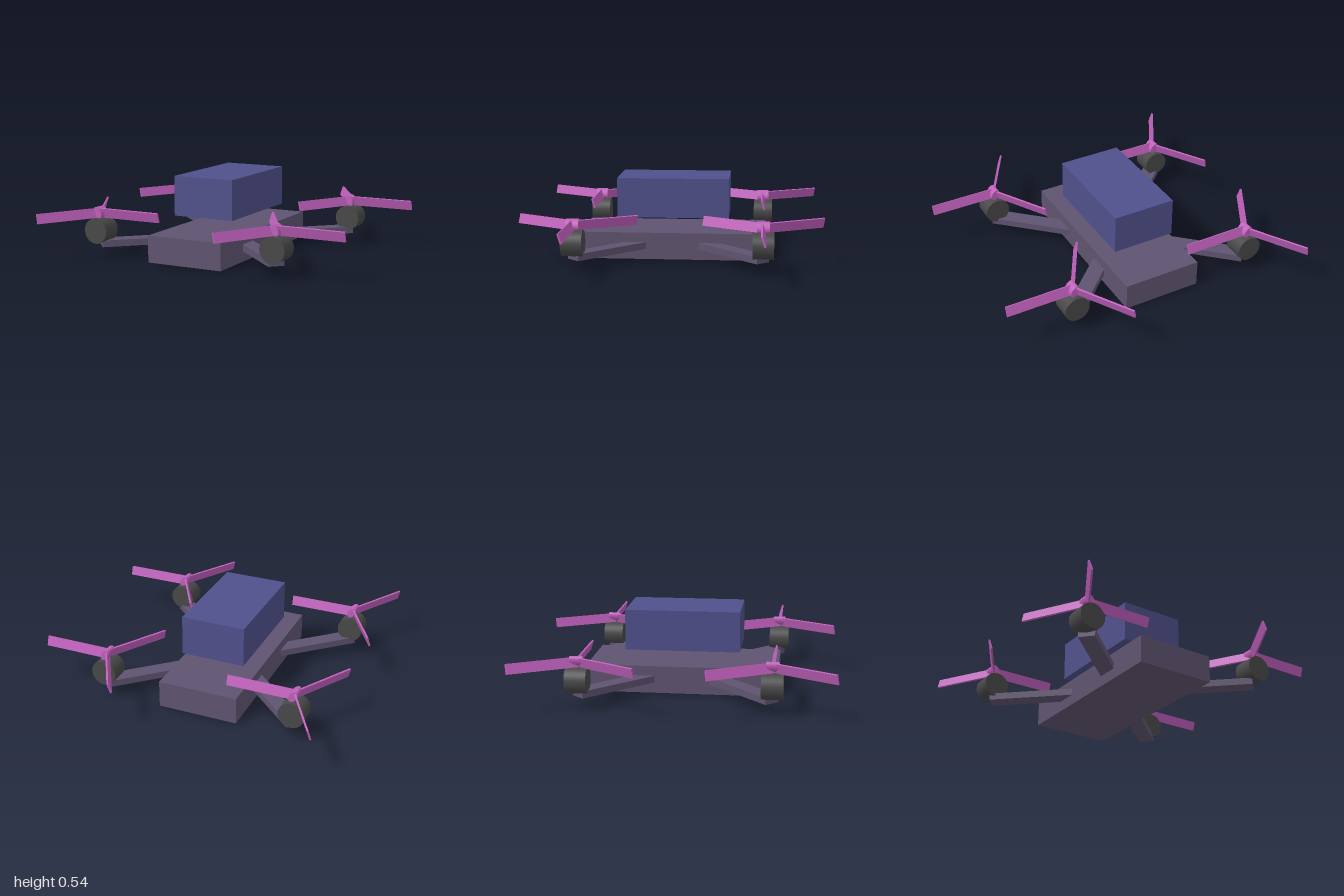
import * as THREE from 'three';

const CX = -0.107; // frame centre in x
const REACH_X = 0.647, REACH_Z = 0.605; // motor offsets from the frame centre

const mat = (color) => new THREE.MeshStandardMaterial({ color });
const bodyMat = mat(0x5f5470);
const batteryMat = mat(0x50508c);
const motorMat = mat(0x484848);
const propMat = mat(0xc060bc);

function part(name, geometry, material, x = 0, y = 0, z = 0) {
  const mesh = new THREE.Mesh(geometry, material);
  mesh.name = name;
  mesh.position.set(x, y, z);
  return mesh;
}

// Three pitched blades around a small tilted oval hub
function createPropeller() {
  const prop = new THREE.Group();
  prop.name = 'propeller';
  const hub = new THREE.CylinderGeometry(0.04, 0.04, 0.082, 32)
    .rotateX(Math.PI / 2)
    .scale(0.62, 1, 1)
    .rotateZ(0.6);
  prop.add(part('hub', hub, propMat, 0, 0.005, 0));
  const blade = new THREE.BoxGeometry(0.448, 0.066, 0.012)
    .translate(0.224, 0, 0)
    .rotateX(0.3);
  for (let i = 0; i < 3; i++) {
    const mesh = part('blade', blade, propMat);
    mesh.rotation.y = (i * Math.PI * 2) / 3;
    prop.add(mesh);
  }
  return prop;
}

// Diagonal arm, motor lying along z, and propeller
function createRotorArm(sx, sz) {
  const rotor = new THREE.Group();
  rotor.name = 'rotorArm';
  const length = Math.hypot(REACH_X, REACH_Z);
  const arm = part('arm', new THREE.BoxGeometry(length, 0.045, 0.106), bodyMat,
    sx * REACH_X / 2, 0.0925, sz * REACH_Z / 2);
  arm.rotation.y = Math.atan2(-sz * REACH_Z, sx * REACH_X);
  const motorGeo = new THREE.CylinderGeometry(0.085, 0.085, 0.135, 32).rotateX(Math.PI / 2);
  const motor = part('motor', motorGeo, motorMat, sx * REACH_X, 0.181, sz * REACH_Z);
  const prop = createPropeller();
  prop.position.set(sx * REACH_X, 0.295, sz * REACH_Z);
  rotor.add(arm, motor, prop);
  return rotor;
}

export function createModel() {
  const model = new THREE.Group();
  model.name = 'quadcopter';
  const frame = new THREE.Group();
  frame.name = 'frame';
  frame.position.x = CX;
  // Main body and the battery block hovering above it
  frame.add(part('body', new THREE.BoxGeometry(0.535, 0.18, 1.25), bodyMat, 0, 0.09, 0));
  frame.add(part('battery', new THREE.BoxGeometry(0.43, 0.266, 0.75), batteryMat, 0, 0.407, 0));
  for (const sx of [-1, 1]) {
    for (const sz of [-1, 1]) frame.add(createRotorArm(sx, sz));
  }
  model.add(frame);
  return model;
}
